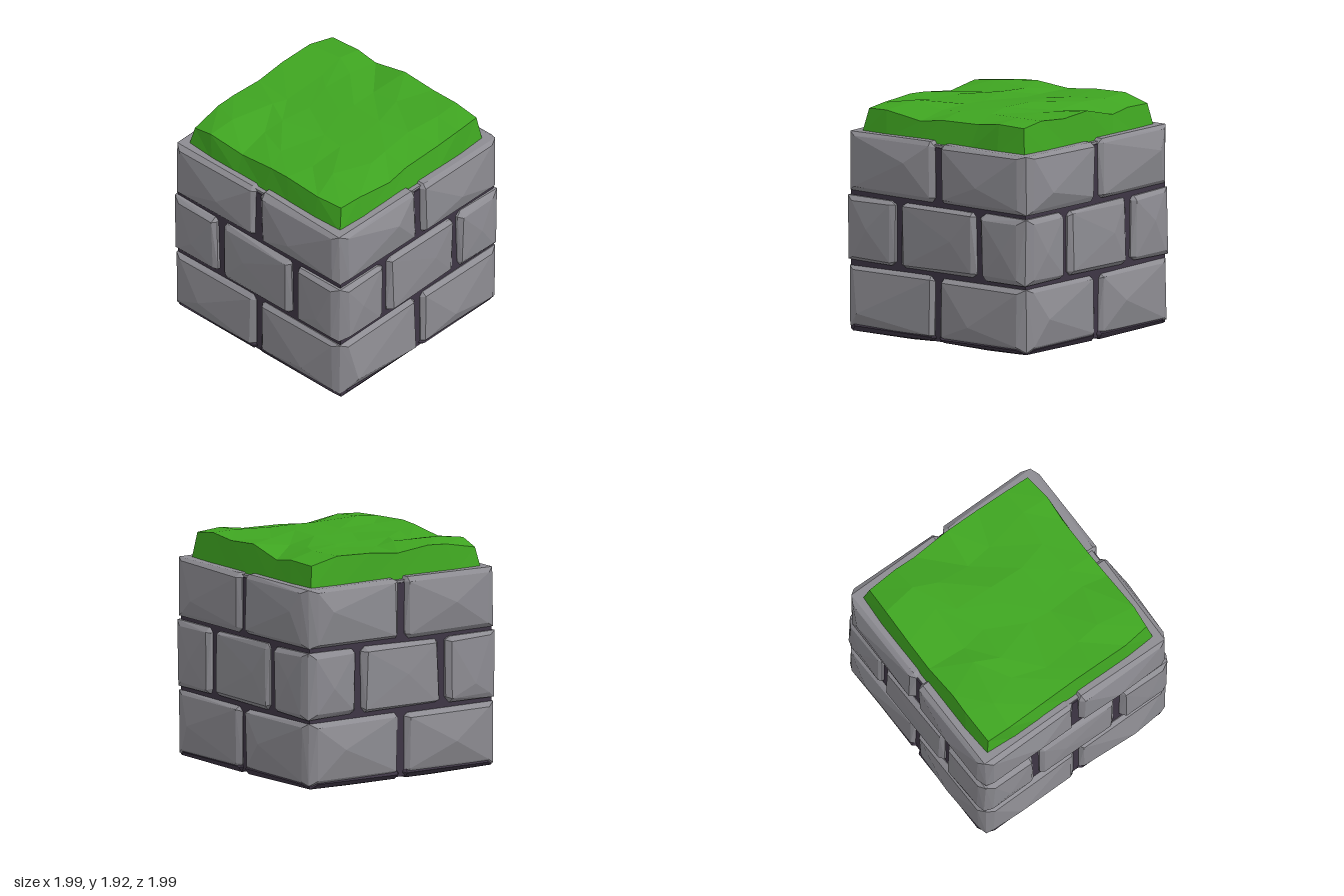
import * as THREE from 'three';
import { ConvexGeometry } from 'three/addons/geometries/ConvexGeometry.js';

const flat = (name, color) => {
  const m = new THREE.MeshStandardMaterial({ color, flatShading: true });
  m.name = name;
  return m;
};

// Seeded jitter in the range -1..1
let seed = 7;
const jitter = () => {
  seed = (seed * 16807) % 2147483647;
  return (seed / 2147483647) * 2 - 1;
};

// Rough chamfered block; range = [min, max] per axis, peaks = extra bulge points.
// Vertical edges on the outer corner of the wall get a wider chamfer.
function roughBlock(name, material, xr, yr, zr, peaks = [], wobble = 0.009) {
  const pts = [];
  const r = [xr, yr, zr];
  for (let i = 0; i < 8; i++) {
    const hi = [i & 1, (i >> 1) & 1, (i >> 2) & 1];
    const p = hi.map((h, a) => r[a][h]);
    const outerCorner = Math.abs(p[0]) > 0.9 && Math.abs(p[2]) > 0.9;
    for (let face = 0; face < 3; face++) {
      const q = p.map((v, a) => {
        if (a === face) return v + jitter() * wobble;
        const c = a !== 1 && face !== 1 && outerCorner ? 0.1 : 0.035;
        return v + (hi[a] ? -c : c) + jitter() * wobble;
      });
      pts.push(new THREE.Vector3(...q));
    }
  }
  peaks.forEach((p) => pts.push(new THREE.Vector3(...p)));
  const mesh = new THREE.Mesh(new ConvexGeometry(pts), material);
  mesh.name = name;
  return mesh;
}

function box(name, material, width, y0, y1) {
  const mesh = new THREE.Mesh(new THREE.BoxGeometry(width, y1 - y0, width), material);
  mesh.position.y = (y0 + y1) / 2;
  mesh.name = name;
  return mesh;
}

const span = (s, a, b) => (s > 0 ? [a, b] : [-b, -a]);

// Lumpy turf: raised corners around a shallow bowl, closed by a sloping skirt
function turfGeometry() {
  const rows = [
    [84, 90, 91, 88, 91, 92, 86],
    [89, 92, 91, 88, 91, 92, 87],
    [85, 87, 90, 89, 91, 91, 84],
    [89, 88, 89, 91, 92, 88, 92],
    [90, 89, 89, 90, 92, 90, 90],
    [88, 92, 89, 90, 91, 92, 92],
    [87, 88, 83, 86, 87, 90, 89],
  ];
  const n = 6;
  const g = new THREE.PlaneGeometry(2, 2, n + 2, n + 2);
  g.rotateX(-Math.PI / 2);
  const pos = g.attributes.position;
  for (let k = 0; k < pos.count; k++) {
    const i = (k % (n + 3)) - 1;
    const j = Math.floor(k / (n + 3)) - 1;
    const ci = Math.min(n, Math.max(0, i));
    const cj = Math.min(n, Math.max(0, j));
    const skirt = i !== ci || j !== cj;
    const edgeX = ci === 0 || ci === n;
    const edgeZ = cj === 0 || cj === n;
    const half = (skirt ? 0.86 : 0.82) * (edgeX && edgeZ ? 0.98 : 1);
    let x = (ci / n * 2 - 1) * half;
    let z = (cj / n * 2 - 1) * half;
    if (!skirt) {
      x += jitter() * (edgeX ? 0.01 : 0.08);
      z += jitter() * (edgeZ ? 0.01 : 0.08);
    }
    pos.setXYZ(k, x, skirt ? 1.66 : 1 + rows[cj][ci] / 100, z);
  }
  const out = g.toNonIndexed();
  out.computeVertexNormals();
  return out;
}

export function createModel() {
  seed = 7;
  const stone = flat('stone grey', 0x8d8c92);
  const mortar = flat('dark mortar', 0x3e3645);
  const grass = flat('grass green', 0x3fa521);
  const model = new THREE.Group();
  model.name = 'stoneBlock';

  // Recessed mortar core with a stone ledge on top
  model.add(box('mortarCore', mortar, 1.81, 0.05, 1.65));
  model.add(box('topLedge', stone, 1.79, 1.64, 1.67));

  // Bottom and top courses: four big corner stones each, bulging on both outer faces
  const corners = [[1, 1], [-1, 1], [1, -1], [-1, -1]];
  const bulges = [
    // [x of z-face peak, y, y of x-face peak, z]
    [[0.37, 0.22, 0.32, 0.7], [0.78, 0.2, 0.2, 0.55], [0.6, 0.35, 0.33, 0.3], [0.5, 0.3, 0.25, 0.6]],
    [[0.45, 1.38, 1.36, 0.65], [0.3, 1.5, 1.37, 0.4], [0.72, 1.5, 1.5, 0.75], [0.5, 1.45, 1.4, 0.4]],
  ];
  [[0.07, 0.58], [1.195, 1.69]].forEach((yr, course) => {
    corners.forEach(([sx, sz], c) => {
      const [px, py, qy, qz] = bulges[course][c];
      model.add(roughBlock(course ? 'topStone' : 'bottomStone', stone,
        span(sx, 0.033, 0.945), yr, span(sz, 0.033, 0.945),
        [[sx * px, py, sz * 0.993], [sx * 0.993, qy, sz * qz]]));

      // Sliver of mortar showing in the seam at the corner
      const seam = new THREE.Mesh(new THREE.BoxGeometry(0.03, 0.17, 0.02), mortar);
      seam.position.set(sx * 0.892, yr[0] + 0.12, sz * 0.892);
      seam.rotation.y = sx * sz * Math.PI / 4;
      seam.name = 'cornerSeam';
      model.add(seam);
    });
  });

  // Middle course: corner stones and one stone centred on every side
  const mid = [0.62, 1.16];
  corners.forEach(([sx, sz]) => {
    model.add(roughBlock('middleCornerStone', stone,
      span(sx, sx > 0 ? 0.465 : 0.435, 0.955), mid, span(sz, 0.445, 0.955),
      [[sx * 0.7, 0.85 + jitter() * 0.1, sz * 0.975], [sx * 0.975, 0.85 + jitter() * 0.1, sz * 0.7]]));
  });
  for (const s of [1, -1]) {
    model.add(roughBlock('middleSideStone', stone, [-0.365, 0.4], mid, span(s, 0.5, 0.95),
      [[jitter() * 0.2, 0.9, s * 0.965]]));
    model.add(roughBlock('middleSideStone', stone, span(s, 0.5, 0.95), mid, [-0.375, 0.375],
      [[s * 0.965, 0.9, jitter() * 0.2]]));
  }

  // Dark, uneven underside in four pieces
  corners.forEach(([sx, sz]) => {
    model.add(roughBlock('underside', mortar,
      span(sx, 0.015, 0.935), [0.04, 0.12], span(sz, 0.015, 0.935),
      [[sx * 0.4, 0, sz * 0.75], [sx * 0.12, 0.015, sz * 0.5], [sx * 0.7, 0.02, sz * 0.3]], 0.006));
  });

  // Grass cap
  const turf = new THREE.Mesh(turfGeometry(), grass);
  turf.name = 'grassTop';
  model.add(turf);

  return model;
}
